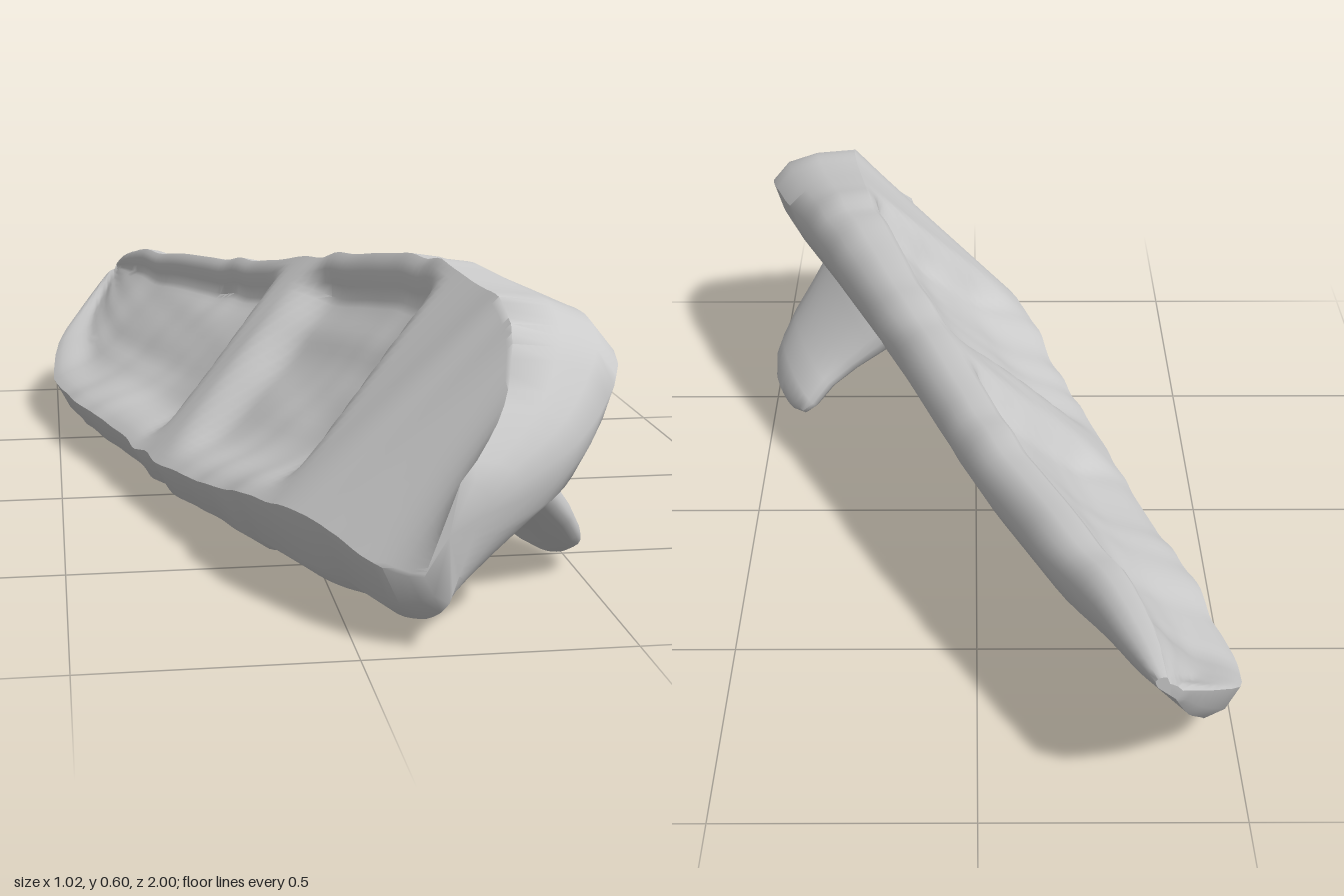
import * as THREE from 'three';
import { toCreasedNormals } from 'three/addons/utils/BufferGeometryUtils.js';

const { lerp, smoothstep } = THREE.MathUtils;
const material = new THREE.MeshStandardMaterial({ color: 0xcccccc });

// smooth repeatable roughness, about -1..1
const rough = (a, b) =>
  (Math.sin(a * 13.1 + Math.sin(b * 9.7 + a * 5) * 2) + Math.sin(b * 23.3 + Math.sin(a * 17.9) * 1.7)) / 2;

// skin closed rings of [x, y, z] and cap both ends
function loft(rings, crease) {
  const n = rings[0].length, last = rings.length - 1;
  const pos = rings.flat(2), index = [];
  for (let r = 0; r < last; r++) {
    for (let i = 0; i < n; i++) {
      const a = r * n + i, b = r * n + (i + 1) % n;
      index.push(a, b, a + n, b, b + n, a + n);
    }
  }
  [0, last].forEach(r => {
    const c = pos.length / 3;
    for (let k = 0; k < 3; k++) pos.push(rings[r].reduce((s, p) => s + p[k], 0) / n);
    for (let i = 0; i < n; i++) {
      const a = r * n + i, b = r * n + (i + 1) % n;
      if (r === 0) index.push(c, b, a); else index.push(c, a, b);
    }
  });
  const g = new THREE.BufferGeometry();
  g.setAttribute('position', new THREE.Float32BufferAttribute(pos, 3));
  g.setIndex(index);
  return toCreasedNormals(g, crease);
}

// slab stations: z, lower edge x, upper edge x, base y, crest y, thickness scale, lip height, crest inset
const stations = [
  [1, 0.11, 0.22, 0.1, 0.32, 0.45, 0.05, 0.05],
  [0.95, 0.05, 0.37, 0.04, 0.4, 0.8, 0.1, 0.12],
  [0.88, 0.0, 0.455, 0.03, 0.48, 1, 0.14, 0.17],
  [0.8, -0.04, 0.505, 0.03, 0.56, 1.05, 0.16, 0.2],
  [0.68, -0.11, 0.495, 0.03, 0.585, 1.05, 0.165, 0.2],
  [0.4, -0.2, 0.385, 0.01, 0.602, 1.05, 0.13, 0.14],
  [0.1, -0.3, 0.24, 0.0, 0.56, 1, 0.11, 0.1],
  [-0.2, -0.38, 0.1, 0.01, 0.495, 0.95, 0.1, 0.09],
  [-0.4, -0.45, 0.01, 0.015, 0.462, 0.9, 0.1, 0.08],
  [-0.68, -0.512, -0.13, 0.015, 0.43, 0.8, 0.09, 0.08],
  [-0.82, -0.5, -0.21, 0.09, 0.42, 0.65, 0.08, 0.07],
  [-0.93, -0.42, -0.27, 0.2, 0.38, 0.4, 0.06, 0.05],
  [-1, -0.36, -0.31, 0.3, 0.35, 0.12, 0.02, 0.02],
];

function stationAt(z) {
  let i = 0;
  while (i < stations.length - 2 && z < stations[i + 1][0]) i++;
  const a = stations[i], b = stations[i + 1], t = (z - a[0]) / (b[0] - a[0]);
  return a.map((v, k) => lerp(v, b[k], t));
}

// stations blended so the outline has no hard corners
function softStation(z) {
  const r = Math.min(0.04, 1 - Math.abs(z));
  const near = [stationAt(z - r), stationAt(z), stationAt(z + r)];
  return near[1].map((v, k) => (near[0][k] + 2 * v + near[2][k]) / 4);
}

// two sunken panels with a divider, a front block and a raised upper ridge
function recess(t, z) {
  const s = z + 0.19 * t;
  const band = (lo, hi, e) => smoothstep(s, lo, lo + e) * (1 - smoothstep(s, hi - e, hi));
  const across = smoothstep(t, 0.0, 0.3) * (1 - smoothstep(t, 0.86, 0.96));
  const front = band(0.12, 0.68, 0.09), back = band(-0.95, 0.05, 0.1);
  const ripple = 0.007 * rough(t * 0.7 + z * 0.2, z * 0.25 - t * 0.15);
  return across * (0.055 * front + 0.055 * back + ripple * (front + back));
}

function slabRing(z) {
  const [, xl, xr, yb, yt, k, lip, inset] = softStation(z);
  const j = 0.005 * k, ring = [];
  const L = [xl + j * rough(z * 1.3, z * 0.9), yb + lip + j * rough(z * 1.1, z * 0.7)];
  const T = [xr - inset, yt + j * rough(z * 0.9, z * 1.3)];
  const U = [xr + j * rough(z * 1.2, z * 0.5), yt - 0.08 * k];
  const M = [xr - 0.05 * k, yt - 0.2 * k];
  const B = [xl + 0.1 * k, yb + j * (1 + rough(z * 0.8, z * 1.2))];
  const add = (x, y) => ring.push([x, y, z]);
  // upper face
  for (let i = 0; i <= 30; i++) {
    const t = i / 30, d = recess(t, z) * k * 0.72;
    add(lerp(L[0], T[0], t) + d, lerp(L[1], T[1], t) - d);
  }
  // rounded crest
  add(lerp(T[0], U[0], 0.45), lerp(T[1], U[1], 0.1));
  add(lerp(T[0], U[0], 0.8), lerp(T[1], U[1], 0.4));
  add(...U);
  add(lerp(U[0], M[0], 0.35), lerp(U[1], M[1], 0.5));
  // flat underside
  for (let i = 0; i <= 8; i++) add(lerp(M[0], B[0], i / 8), lerp(M[1], B[1], i / 8));
  // lower edge
  add(lerp(B[0], L[0], 0.6), lerp(B[1], L[1], 0.3));
  return ring;
}

// foot stations: centre x, y, z, half length, half thickness
const footStations = [
  [0.22, 0.31, 0.61, 0.24, 0.09],
  [0.3, 0.23, 0.6, 0.225, 0.075],
  [0.355, 0.175, 0.575, 0.195, 0.06],
  [0.405, 0.125, 0.545, 0.17, 0.052],
  [0.44, 0.08, 0.51, 0.155, 0.046],
  [0.46, 0.055, 0.495, 0.135, 0.04],
  [0.475, 0.032, 0.49, 0.08, 0.028],
];

// flat oval, its length running along the slab
function footRing([x, y, z, len, thick]) {
  return Array.from({ length: 24 }, (_, i) => {
    const a = i / 24 * Math.PI * 2, u = Math.cos(a) * len;
    const e = -Math.sin(a) * thick * Math.SQRT1_2;
    return [x + e + 0.26 * u, y + e + 0.08 * u, z + 0.95 * u];
  });
}

export function createModel() {
  const group = new THREE.Group();
  const add = (name, geometry) => {
    const mesh = new THREE.Mesh(geometry, material);
    mesh.name = name;
    group.add(mesh);
  };
  const rings = Array.from({ length: 101 }, (_, i) => slabRing(1 - i / 50));
  add('leaningSlab', loft(rings, 0.85));
  add('supportFoot', loft(footStations.map(footRing), 1));
  return group;
}
